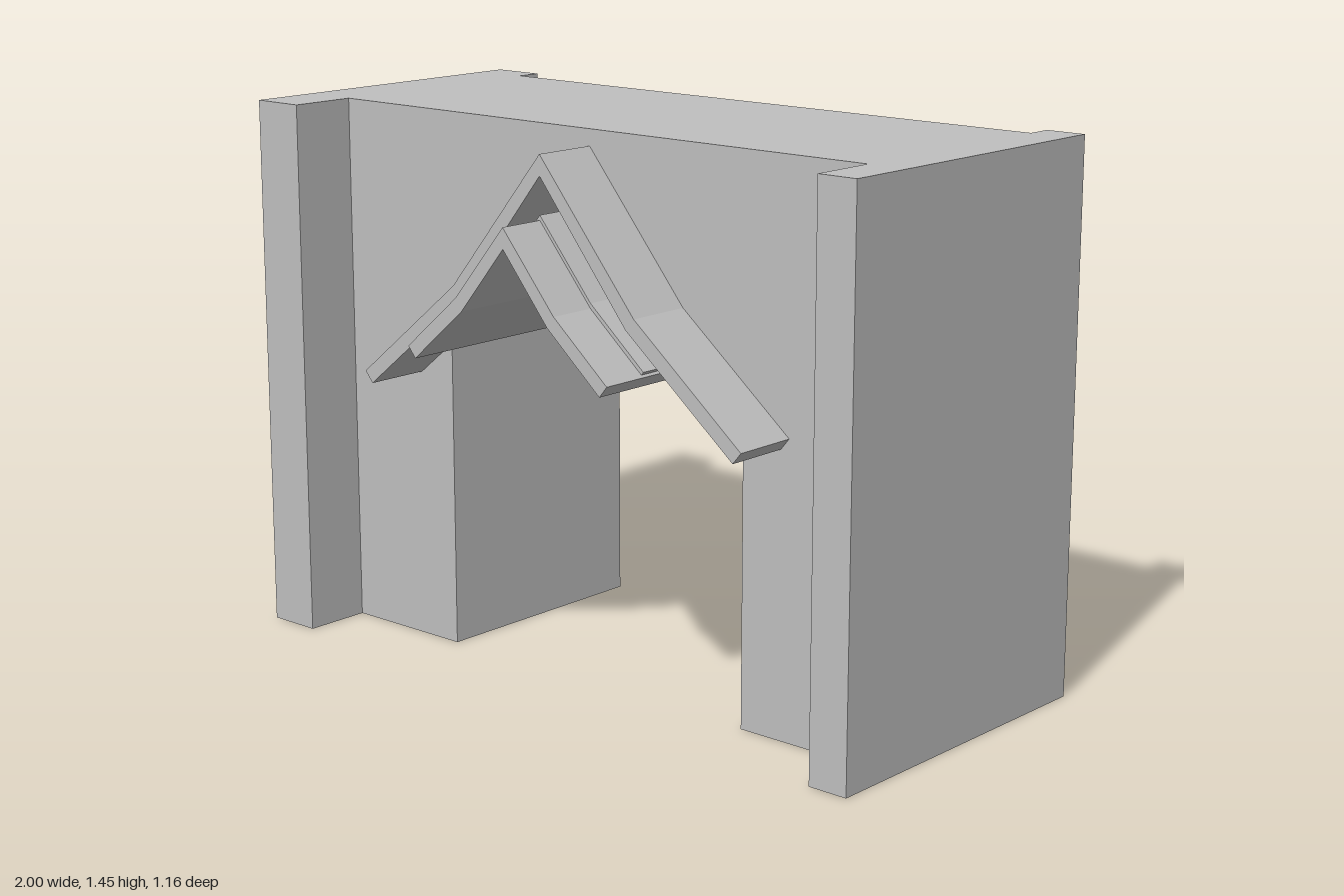
import * as THREE from 'three';

const CX = 0.03; // the roofs are centred slightly off the middle

export function createModel() {
  const grey = new THREE.MeshStandardMaterial({ color: 0xbfbfbf });
  grey.name = 'plain grey';
  const model = new THREE.Group();
  model.name = 'archway';

  const add = (name, geometry) => {
    const mesh = new THREE.Mesh(geometry, grey);
    mesh.name = name;
    model.add(mesh);
  };

  // Extrude an outline in x, y from z0 to z1
  const slab = (name, points, z0, z1) => {
    const shape = new THREE.Shape(points.map(([x, y]) => new THREE.Vector2(x, y)));
    const geometry = new THREE.ExtrudeGeometry(shape, { depth: z1 - z0, bevelEnabled: false });
    geometry.translate(0, 0, z0);
    add(name, geometry);
  };

  // Mirror half of a bent roof profile: upper and lower lines from ridge to eave
  const roof = (name, upper, lower, z0, z1, lift = 0) => {
    const half = [...upper, ...lower.slice().reverse()];
    const right = half.map(([x, y]) => [CX + x, y + lift]);
    const left = half.slice(1, -1).reverse().map(([x, y]) => [CX - x, y + lift]);
    slab(name, [...right, ...left], z0, z1);
  };

  // Wall with a gabled passage, its top tucked into the outer roof
  slab('wall', [
    [-0.85, 0], [-0.47, 0], [-0.47, 0.85], [-0.26, 1.025], [CX, 1.38],
    [0.32, 1.025], [0.53, 0.85], [0.53, 0], [0.89, 0], [0.89, 1.45], [-0.85, 1.45],
  ], -0.39, 0.27);

  // Side walls, deeper than the main wall
  for (const [name, x0, x1] of [['rightSideWall', -1, -0.85], ['leftSideWall', 0.89, 1]]) {
    const box = new THREE.BoxGeometry(x1 - x0, 1.45, 0.915);
    box.translate((x0 + x1) / 2, 0.725, -0.0025);
    add(name, box);
  }

  // Outer roof lining the passage
  roof('outerRoof',
    [[0, 1.407], [0.307, 1.04], [0.642, 0.768]],
    [[0, 1.353], [0.28, 1.01], [0.617, 0.738]], -0.46, 0.45);

  // Inner roof hanging below, with a shorter layer on top
  const upper = [[0, 1.244], [0.167, 1.047], [0.338, 0.902]];
  const lower = [[0, 1.19], [0.145, 1.017], [0.314, 0.873]];
  roof('innerRoof', upper, lower, -0.58, 0.58);
  roof('innerRoofTopLayer', upper, lower, -0.46, 0.45, 0.013);

  return model;
}
